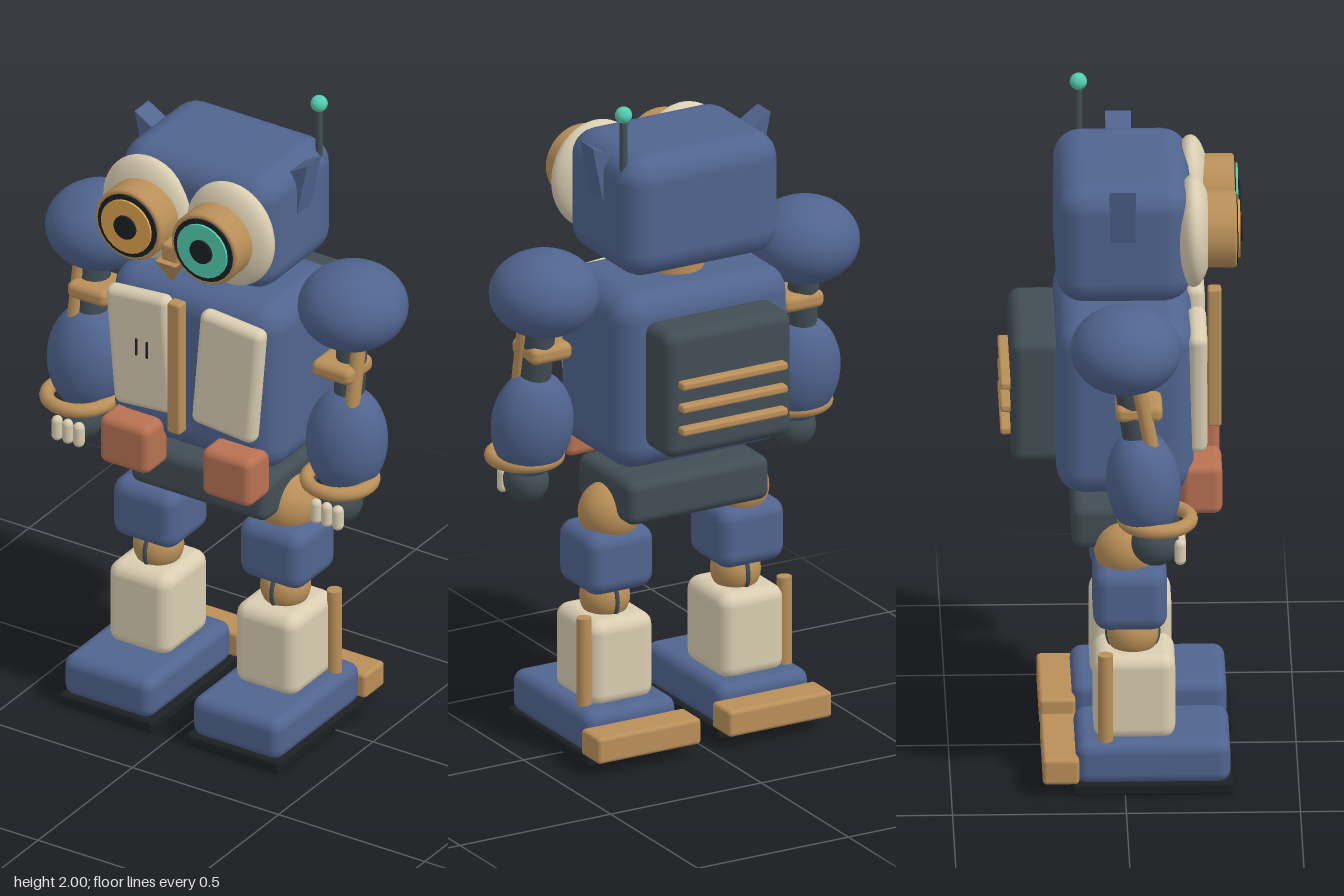
import * as THREE from 'three';
import { RoundedBoxGeometry } from 'three/addons/geometries/RoundedBoxGeometry.js';

const mat = (color) => new THREE.MeshStandardMaterial({ color });
const BLUE = mat(0x50648f), TAN = mat(0xb98f58), CREAM = mat(0xd9cdb1), DARK = mat(0x414d54);
const ORANGE = mat(0xb87152), GREEN = mat(0x52cdb0), AMBER = mat(0xdba24c), BLACK = mat(0x1c2023);

function add(parent, name, geometry, material, x, y, z) {
  const mesh = new THREE.Mesh(geometry, material);
  mesh.name = name;
  mesh.position.set(x, y, z);
  parent.add(mesh);
  return mesh;
}

// Rounded box given by its size, corner radius and centre
function box(parent, name, material, [w, h, d], r, [x, y, z]) {
  return add(parent, name, new RoundedBoxGeometry(w, h, d, 3, r), material, x, y, z);
}

function ellipsoid(parent, name, material, [rx, ry, rz], [x, y, z]) {
  const geometry = new THREE.SphereGeometry(1, 32, 20).scale(rx, ry, rz);
  return add(parent, name, geometry, material, x, y, z);
}

// Cylinder running between two points
function rod(parent, name, material, r, from, to) {
  const a = new THREE.Vector3(...from), b = new THREE.Vector3(...to);
  const dir = b.clone().sub(a), mid = a.clone().add(b).multiplyScalar(0.5);
  const mesh = add(parent, name, new THREE.CylinderGeometry(r, r, dir.length(), 24), material, mid.x, mid.y, mid.z);
  mesh.quaternion.setFromUnitVectors(new THREE.Vector3(0, 1, 0), dir.normalize());
  return mesh;
}

function group(parent, name) {
  const g = new THREE.Group();
  g.name = name;
  parent.add(g);
  return g;
}

function buildHead(model) {
  const head = group(model, 'head');
  box(head, 'skull', BLUE, [0.52, 0.37, 0.39], 0.08, [0, 1.66, 0]);
  rod(head, 'neck', TAN, 0.085, [0, 1.39, 0], [0, 1.5, 0]);

  for (const s of [-1, 1]) {
    // Eye: cream disc, goggle barrel, dark rim, iris and pupil
    const eye = group(head, s > 0 ? 'leftEye' : 'rightEye');
    const x = s * 0.13, y = 1.67;
    ellipsoid(eye, 'eyeDisc', CREAM, [0.147, 0.165, 0.056], [s * 0.143, y, 0.2]);
    rod(eye, 'goggle', TAN, 0.113, [x, y, 0.2], [x, y, 0.315]);
    add(eye, 'goggleRim', new THREE.TorusGeometry(0.104, 0.009, 8, 40), TAN, x, y, 0.316);
    rod(eye, 'lensRing', BLACK, 0.1, [x, y, 0.3], [x, y, 0.328]);
    rod(eye, 'iris', s > 0 ? GREEN : AMBER, 0.085, [x, y, 0.3], [x, y, 0.335]);
    rod(eye, 'pupil', BLACK, 0.037, [x, y, 0.3], [x, y, 0.342]);

    // Pointed ear
    const shape = new THREE.Shape([
      new THREE.Vector2(s * 0.295, 1.857), new THREE.Vector2(s * 0.2, 1.8), new THREE.Vector2(s * 0.255, 1.66),
    ]);
    add(head, 'ear', new THREE.ExtrudeGeometry(shape, { depth: 0.074, bevelEnabled: false }), BLUE, 0, 0, -0.042);
  }

  // Beak: four-sided cone pointing down
  const beakShape = new THREE.ConeGeometry(0.05, 0.075, 4).rotateY(Math.PI / 4).rotateX(Math.PI);
  add(head, 'beak', beakShape, TAN, 0, 1.545, 0.29);
  box(head, 'beakBridge', TAN, [0.06, 0.07, 0.1], 0.01, [0, 1.6, 0.255]);

  rod(head, 'antenna', DARK, 0.011, [0.238, 1.76, -0.12], [0.238, 1.97, -0.12]);
  ellipsoid(head, 'antennaTip', GREEN, [0.025, 0.025, 0.025], [0.238, 1.975, -0.12]);
}

function buildTorso(model) {
  const torso = group(model, 'torso');
  box(torso, 'chest', BLUE, [0.58, 0.54, 0.395], 0.08, [0, 1.16, 0.002]);
  box(torso, 'pelvis', DARK, [0.47, 0.135, 0.31], 0.03, [0, 0.777, 0.005]);
  box(torso, 'centreBar', TAN, [0.044, 0.43, 0.04], 0.008, [0, 1.215, 0.265]);
  for (const s of [-1, 1]) {
    const plate = box(torso, 'chestPlate', CREAM, [0.215, 0.38, 0.055], 0.025, [s * 0.147, 1.205, 0.212]);
    plate.rotation.z = -s * 0.085;
    box(torso, 'pouch', ORANGE, [0.17, 0.155, 0.12], 0.025, [s * 0.175, 0.903, 0.222]);
  }
  for (const x of [-0.155, -0.118]) box(torso, 'slit', BLACK, [0.007, 0.055, 0.008], 0.002, [x, 1.22, 0.239]);

  // Backpack with three vent bars
  box(torso, 'backpack', DARK, [0.42, 0.385, 0.15], 0.035, [0, 1.162, -0.25]);
  for (const y of [1.06, 1.13, 1.2]) box(torso, 'ventBar', TAN, [0.35, 0.024, 0.035], 0.008, [0, y, -0.337]);
}

function buildArm(model, s) {
  const arm = group(model, s > 0 ? 'leftArm' : 'rightArm');
  ellipsoid(arm, 'shoulder', BLUE, [0.16, 0.127, 0.16], [s * 0.432, 1.425, 0]);
  rod(arm, 'upperArm', DARK, 0.045, [s * 0.435, 1.4, 0], [s * 0.443, 1.08, 0.045]);
  rod(arm, 'piston', TAN, 0.022, [s * 0.475, 1.36, 0.03], [s * 0.475, 1.12, 0.075]);
  box(arm, 'clamp', TAN, [0.135, 0.052, 0.135], 0.02, [s * 0.418, 1.24, 0.037]);
  const forearm = ellipsoid(arm, 'forearm', BLUE, [0.123, 0.165, 0.107], [s * 0.443, 1.01, 0.05]);
  forearm.rotation.x = -0.12;
  const cuff = add(arm, 'cuff', new THREE.TorusGeometry(0.096, 0.021, 12, 36), TAN, s * 0.445, 0.9, 0.09);
  cuff.rotation.x = Math.PI / 2;
  ellipsoid(arm, 'hand', DARK, [0.065, 0.068, 0.07], [s * 0.443, 0.825, 0.085]);
  for (const i of [-1, 0, 1]) {
    const finger = new THREE.CapsuleGeometry(0.017, 0.045, 6, 12);
    add(arm, 'finger', finger, CREAM, s * 0.443 + i * 0.037, 0.81, 0.155);
  }
}

function buildLeg(model, s) {
  const leg = group(model, s > 0 ? 'leftLeg' : 'rightLeg');
  const x = s * 0.217;
  ellipsoid(leg, 'hip', TAN, [0.092, 0.092, 0.092], [s * 0.212, 0.71, 0.005]);
  box(leg, 'thigh', BLUE, [0.22, 0.19, 0.213], 0.045, [x, 0.58, 0.016]);
  ellipsoid(leg, 'knee', TAN, [0.073, 0.075, 0.075], [x, 0.447, 0.025]);
  const band = add(leg, 'kneeBand', new THREE.TorusGeometry(0.072, 0.008, 8, 32), DARK, x, 0.447, 0.025);
  band.rotation.y = Math.PI / 2;
  box(leg, 'shin', CREAM, [0.212, 0.265, 0.235], 0.04, [x, 0.277, 0.028]);
  rod(leg, 'strut', TAN, 0.022, [s * 0.332, 0.13, -0.056], [s * 0.332, 0.425, -0.056]);
  box(leg, 'foot', BLUE, [0.305, 0.13, 0.445], 0.035, [x + s * 0.003, 0.095, 0.08]);
  box(leg, 'sole', BLACK, [0.318, 0.038, 0.46], 0.01, [x, 0.019, 0.08]);
  box(leg, 'heel', TAN, [0.342, 0.08, 0.105], 0.012, [x, 0.08, -0.185]);
}

export function createModel() {
  const model = new THREE.Group();
  model.name = 'owlRobot';
  buildHead(model);
  buildTorso(model);
  for (const s of [-1, 1]) {
    buildArm(model, s);
    buildLeg(model, s);
  }
  return model;
}
